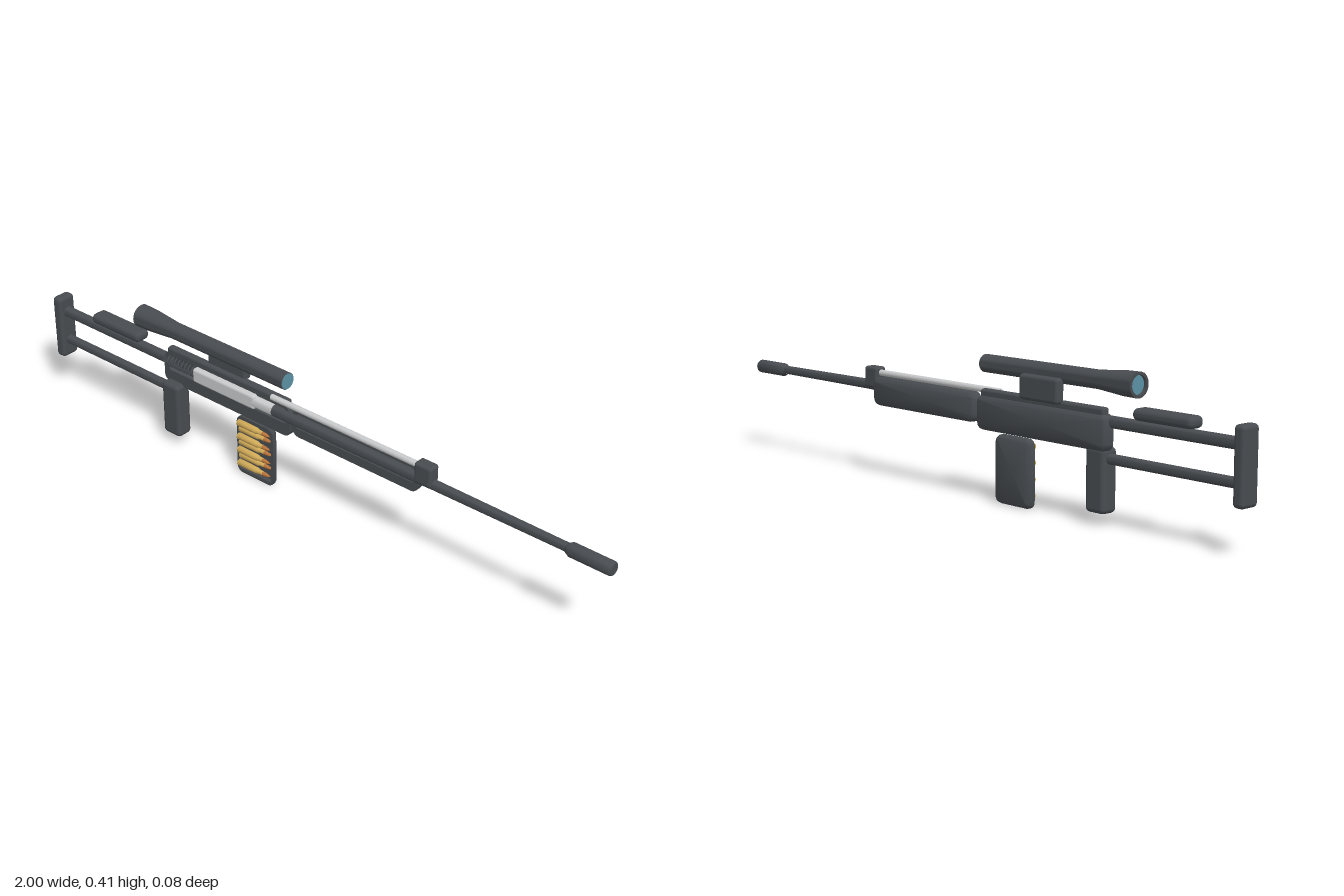
import * as THREE from 'three';
import { toCreasedNormals } from 'three/addons/utils/BufferGeometryUtils.js';
import { RoundedBoxGeometry } from 'three/addons/geometries/RoundedBoxGeometry.js';

const material = (name, color) => new THREE.MeshStandardMaterial({ name, color });
const AXIS_Z = 0.005; // depth of the barrel and scope axis

// Points of a rounded rectangle, counter-clockwise seen from the front
function roundedRing([x0, x1, y0, y1, z, r]) {
  const points = [], steps = 4;
  const corners = [[x1 - r, y0 + r], [x1 - r, y1 - r], [x0 + r, y1 - r], [x0 + r, y0 + r]];
  corners.forEach(([cx, cy], k) => {
    for (let i = 0; i <= steps; i++) {
      const a = (k - 1 + i / steps) * Math.PI / 2;
      points.push([cx + r * Math.cos(a), cy + r * Math.sin(a), z]);
    }
  });
  return points;
}

// Closed skin running through a list of rounded rectangles
function loft(rects) {
  const rings = rects.map(roundedRing), n = rings[0].length, pos = [];
  for (let k = 0; k < rings.length - 1; k++) {
    const a = rings[k], b = rings[k + 1];
    for (let i = 0; i < n; i++) {
      const j = (i + 1) % n;
      pos.push(...a[i], ...b[i], ...a[j], ...a[j], ...b[i], ...b[j]);
    }
  }
  const g = new THREE.BufferGeometry();
  g.setAttribute('position', new THREE.Float32BufferAttribute(pos, 3));
  return toCreasedNormals(g, 0.7);
}

// Housing cut open at the front, with a cavity and a rounded back
function openHalf([x0, x1, y0, y1], [a0, a1, b0, b1], back, floor, r, front = AXIS_Z) {
  const mx = (x0 + x1) / 2, my = (y0 + y1) / 2;
  const inset = (d, z) => [x0 + d, x1 - d, y0 + d, y1 - d, z, Math.max(r - d, 0.002)];
  const cx = (a0 + a1) / 2, cy = (b0 + b1) / 2;
  return loft([
    [cx, cx, cy, cy, floor, 0],
    [a0, a1, b0, b1, floor, 0.006],
    [a0, a1, b0, b1, front, 0.006],
    inset(0, front),
    inset(0, back + 0.012),
    inset(0.004, back + 0.004),
    inset(0.011, back),
    [mx, mx, my, my, back, 0],
  ]);
}

export function createModel() {
  const model = new THREE.Group();
  const gunmetal = material('gunmetal', 0x484c50);
  const steel = material('bright steel', 0xc9cacb);
  const brass = material('brass', 0xd0aa58);
  const copper = material('copper', 0xb8733a);
  const glass = material('lens glass', 0x5c93a5);

  const add = (name, geometry, mat) => {
    const mesh = new THREE.Mesh(geometry, mat);
    mesh.name = name;
    model.add(mesh);
    return mesh;
  };
  const box = (name, x0, x1, y0, y1, z0, z1, r, mat = gunmetal) =>
    add(name, new RoundedBoxGeometry(x1 - x0, y1 - y0, z1 - z0, 3, r), mat)
      .position.set((x0 + x1) / 2, (y0 + y1) / 2, (z0 + z1) / 2);
  // Turned part along x, from [x, radius] pairs
  const turned = (name, profile, y, z = AXIS_Z, mat = gunmetal, sides = 24) => {
    const points = profile.map(([x, r]) => new THREE.Vector2(r, x));
    const g = toCreasedNormals(new THREE.LatheGeometry(points, sides).rotateZ(-Math.PI / 2), 0.6);
    add(name, g, mat).position.set(0, y, z);
  };
  const rod = (name, x0, x1, r, y, z, mat) =>
    turned(name, [[x0, 0], [x0, r], [x1, r], [x1, 0]], y, z, mat);

  // Skeleton stock
  box('buttPlate', -1, -0.965, 0.12, 0.322, -0.025, 0.035, 0.012);
  rod('upperStockRod', -0.97, -0.54, 0.016, 0.272);
  rod('lowerStockRod', -0.97, -0.54, 0.014, 0.176);
  box('cheekRest', -0.832, -0.635, 0.289, 0.321, -0.022, 0.03, 0.014);
  box('grip', -0.54, -0.472, 0.032, 0.205, -0.02, 0.033, 0.013);

  // Cut-open receiver with its top cover
  add('receiver', openHalf([-0.55, -0.06, 0.196, 0.292], [-0.53, -0.075, 0.235, 0.284],
    -0.028, -0.016, 0.02), gunmetal);
  box('topCover', -0.537, -0.07, 0.284, 0.309, -0.02, AXIS_Z, 0.008);

  // Bolt and return spring
  box('boltCarrier', -0.42, -0.18, 0.243, 0.288, -0.014, 0.022, 0.008, steel);
  rod('boltHead', -0.19, -0.115, 0.018, 0.265, AXIS_Z, steel);
  const coil = [];
  for (let i = 0; i <= 96; i++) {
    const a = i / 12 * Math.PI * 2;
    coil.push(new THREE.Vector3(-0.525 + i * 0.11 / 96, 0.268 + 0.014 * Math.cos(a), AXIS_Z + 0.014 * Math.sin(a)));
  }
  add('returnSpring', new THREE.TubeGeometry(new THREE.CatmullRomCurve3(coil), 192, 0.003, 6), gunmetal);

  // Barrel, muzzle and gas piston
  turned('barrel', [[-0.118, 0], [-0.118, 0.017], [0.39, 0.016], [0.45, 0.0145], [0.88, 0.0125], [0.88, 0]], 0.264);
  turned('muzzle', [[0.86, 0.012], [0.876, 0.02], [0.995, 0.02], [1, 0.017], [1, 0]], 0.263);
  rod('gasPiston', -0.125, 0.395, 0.009, 0.303, AXIS_Z, steel);
  box('frontSightBlock', 0.39, 0.447, 0.257, 0.32, -0.014, 0.024, 0.009);

  // Cut-open handguard
  add('handguard', openHalf([-0.05, 0.392, 0.211, 0.294], [-0.035, 0.378, 0.238, 0.285],
    -0.028, -0.016, 0.022), gunmetal);

  // Scope and its side mount
  turned('scopeTube', [[-0.625, 0], [-0.625, 0.026], [-0.637, 0.026], [-0.637, 0.034], [-0.59, 0.033],
    [-0.5, 0.025], [-0.067, 0.025], [-0.067, 0]], 0.376);
  rod('frontLens', -0.07, -0.065, 0.0235, 0.376, AXIS_Z, glass);
  rod('rearLens', -0.629, -0.624, 0.0255, 0.376, AXIS_Z, glass);
  box('scopeMount', -0.387, -0.24, 0.3, 0.369, -0.037, -0.008, 0.01);

  // Cut-open magazine with staggered rounds
  add('magazine', openHalf([-0.263, -0.124, 0, 0.19], [-0.255, -0.132, 0.012, 0.182],
    -0.018, -0.011, 0.02), gunmetal);
  for (let i = 0; i < 7; i++) {
    const y = 0.034 + i * 0.0225, z = i % 2 ? 0 : 0.008;
    turned('cartridgeCase', [[-0.253, 0], [-0.253, 0.01], [-0.249, 0.01], [-0.249, 0.0088], [-0.246, 0.01],
      [-0.182, 0.0095], [-0.173, 0.0065], [-0.16, 0.0065], [-0.16, 0]], y, z, brass, 14);
    turned('bulletTip', [[-0.161, 0.0062], [-0.15, 0.0058], [-0.14, 0.0038], [-0.131, 0]], y, z, copper, 14);
  }
  return model;
}
